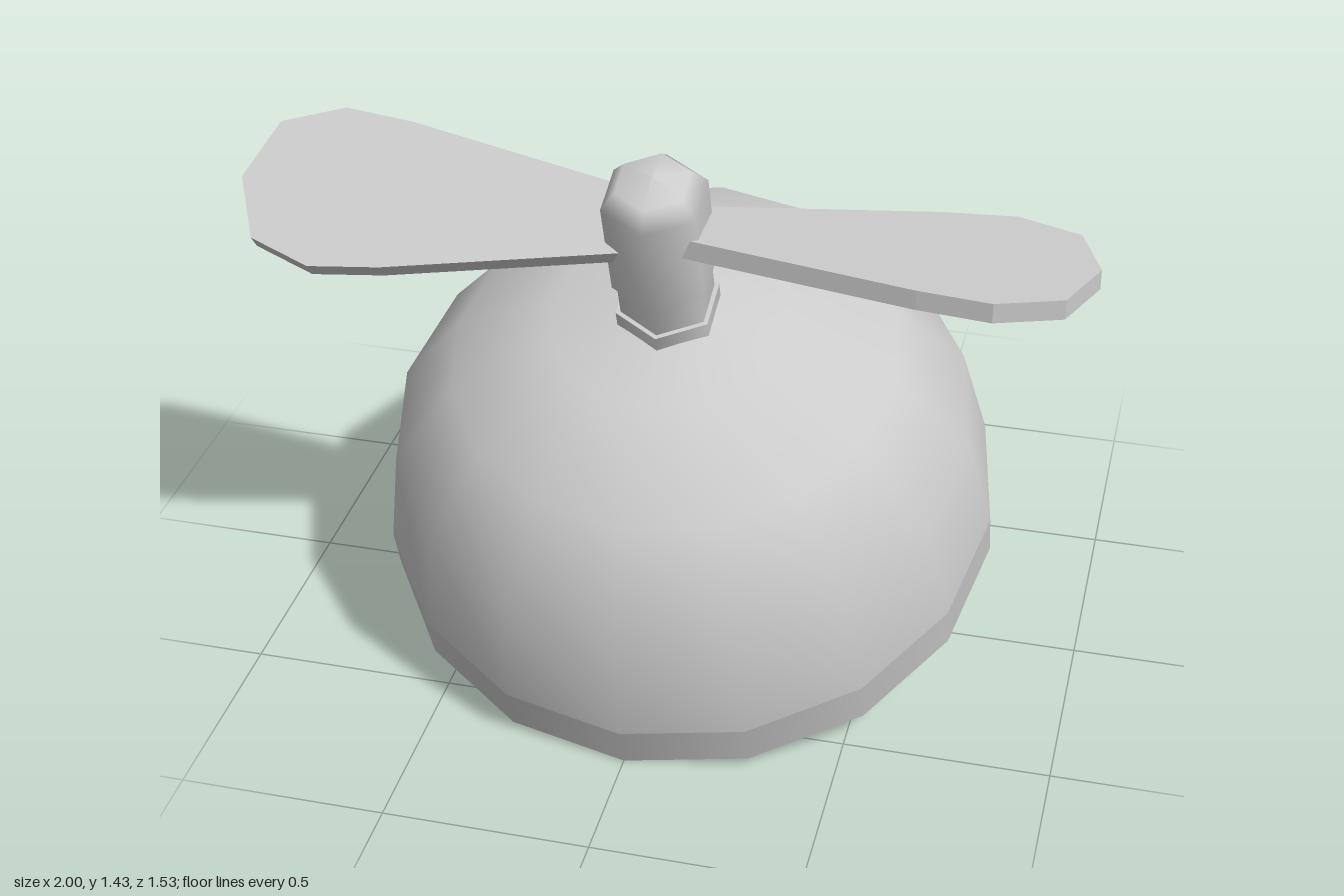
import * as THREE from 'three';

const TILT = THREE.MathUtils.degToRad(19.26);
const PEG_SIDES = 6;
const CAP_SIDES = 16;

export function createModel() {
  const grey = new THREE.MeshStandardMaterial({ color: 0xcccccc });
  grey.name = 'grey';
  const greyShell = new THREE.MeshStandardMaterial({ color: 0xcccccc, side: THREE.DoubleSide });
  greyShell.name = 'grey shell';

  // Everything is built upright around the cap axis, then tipped forward.
  const model = new THREE.Group();
  model.name = 'propellerCap';
  const hat = new THREE.Group();
  hat.name = 'hat';
  hat.position.set(0, 0.2525, -0.0375);
  hat.rotation.x = TILT;
  model.add(hat);

  const add = (name, geometry, material = grey, parent = hat) => {
    const mesh = new THREE.Mesh(geometry, material);
    mesh.name = name;
    parent.add(mesh);
    return mesh;
  };
  const lathe = (points, sides) =>
    new THREE.LatheGeometry(points.map(([r, y]) => new THREE.Vector2(r, y)), sides);

  // Open cap: straight band below a rounded dome
  add('band', lathe([[0.765, 0], [0.765, 0.12]], CAP_SIDES), greyShell);
  add('dome', lathe([[0.765, 0.12], [0.71, 0.41], [0.54, 0.633], [0.286, 0.759], [0, 0.795]],
    CAP_SIDES), greyShell);

  // Peg: base ring, narrower neck and round-topped hub
  const drum = (name, radius, bottom, top) =>
    add(name, new THREE.CylinderGeometry(radius, radius, top - bottom, PEG_SIDES)
      .translate(0, (top + bottom) / 2, 0));
  drum('baseRing', 0.127, 0.745, 0.82);
  drum('neck', 0.115, 0.8, 0.92);
  add('hub', lathe([[0.127, 0.91], [0.127, 1.17], [0.09, 1.213], [0, 1.231]], PEG_SIDES));
  add('hubUnderside', new THREE.CircleGeometry(0.127, PEG_SIDES, Math.PI / 2)
    .rotateX(Math.PI / 2).translate(0, 0.91, 0));

  // Propeller: two flat paddles pitched in opposite directions
  const half = [[0.04, 0.075], [0.62, 0.185], [0.79, 0.203], [0.94, 0.15]];
  const outline = [
    ...half.map(([x, w]) => [x, -w]),
    [1, 0],
    ...half.map(([x, w]) => [x, w]).reverse(),
  ].map(([x, w]) => new THREE.Vector2(x, w));
  const thickness = 0.048;
  const blade = new THREE.ExtrudeGeometry(new THREE.Shape(outline),
    { depth: thickness, bevelEnabled: false });
  blade.translate(0, 0, -thickness / 2).rotateX(-Math.PI / 2 - TILT);

  const propeller = new THREE.Group();
  propeller.name = 'propeller';
  propeller.position.y = 1.061;
  hat.add(propeller);
  ['leftBlade', 'rightBlade'].forEach((name, i) => {
    add(name, blade, grey, propeller).rotation.y = i * Math.PI;
  });

  return model;
}
